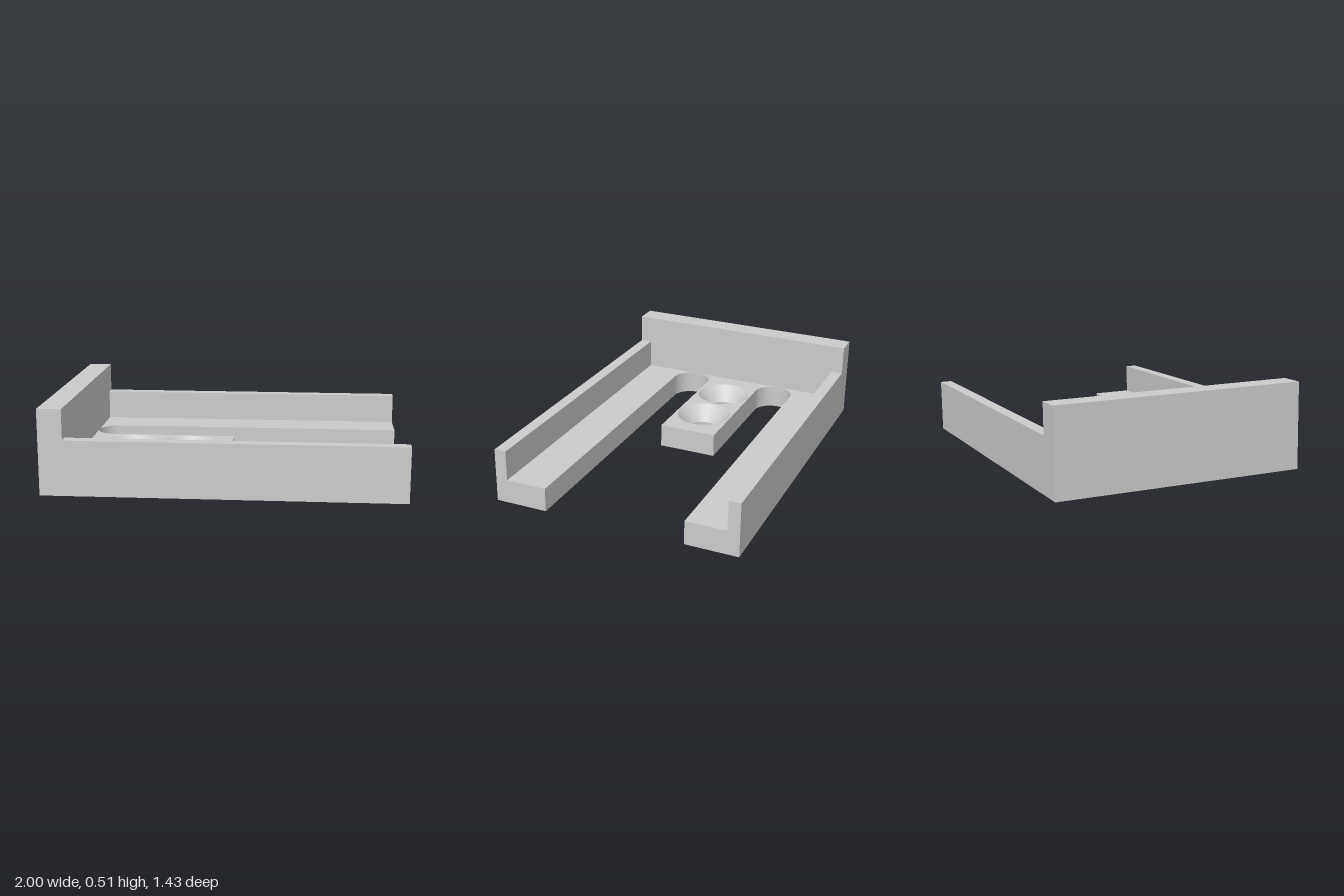
import * as THREE from 'three';
import { toCreasedNormals } from 'three/addons/utils/BufferGeometryUtils.js';

const HALF = 0.71;        // half depth of the bracket
const BASE = 0.137;       // plate thickness
const LIP = 0.311;        // height of the side lips
const WALL = 0.483;       // height of the end wall
const WALL_X = -0.865;    // inner face of the end wall
const SLOT_IN = 0.172, SLOT_OUT = 0.407;
const HOLES = [-0.605, -0.262];
const TILT = -0.0183;

// Plan of the plate: two long arms and a short tongue, parted by round-ended slots
function plateOutline() {
  const r = (SLOT_OUT - SLOT_IN) / 2, mid = (SLOT_OUT + SLOT_IN) / 2, cx = WALL_X + r;
  const s = new THREE.Shape();
  s.moveTo(-1, -HALF);
  s.lineTo(1, -HALF);
  s.lineTo(1, -SLOT_OUT);
  s.lineTo(cx, -SLOT_OUT);
  s.absarc(cx, -mid, r, -Math.PI / 2, -Math.PI * 1.5, true);
  s.lineTo(0, -SLOT_IN);
  s.lineTo(0, SLOT_IN);
  s.lineTo(cx, SLOT_IN);
  s.absarc(cx, mid, r, -Math.PI / 2, -Math.PI * 1.5, true);
  s.lineTo(1, SLOT_OUT);
  s.lineTo(1, HALF);
  s.lineTo(-1, HALF);
  return s;
}

// Flat face of the plate with screw holes of the given radius
function plateFace(radius) {
  const s = plateOutline();
  for (const x of HOLES) {
    s.holes.push(new THREE.Path().absarc(x, 0, radius, 0, Math.PI * 2, true));
  }
  return new THREE.ShapeGeometry(s, 24);
}

// Upright edge running all round the outline
function plateEdge() {
  const pts = plateOutline().getPoints(24), pos = [];
  pts.forEach((a, i) => {
    const b = pts[(i + 1) % pts.length];
    if (a.distanceTo(b) < 1e-6) return;
    const a0 = [a.x, 0, -a.y], b0 = [b.x, 0, -b.y];
    const a1 = [a.x, BASE, -a.y], b1 = [b.x, BASE, -b.y];
    pos.push(...a0, ...b0, ...b1, ...a0, ...b1, ...a1);
  });
  const g = new THREE.BufferGeometry();
  g.setAttribute('position', new THREE.Float32BufferAttribute(pos, 3));
  return toCreasedNormals(g, 0.5);
}

export function createModel() {
  const model = new THREE.Group();
  model.name = 'mountingBracket';
  const body = new THREE.Group();
  body.name = 'bracketBody';
  model.add(body);
  const grey = new THREE.MeshStandardMaterial({ color: 0xcccccc });
  const inner = new THREE.MeshStandardMaterial({ color: 0xcccccc, side: THREE.DoubleSide });

  const add = (name, geometry, material = grey) => {
    const mesh = new THREE.Mesh(geometry, material);
    mesh.name = name;
    body.add(mesh);
    return mesh;
  };
  const box = (name, x0, x1, y0, y1, z0, z1) =>
    add(name, new THREE.BoxGeometry(x1 - x0, y1 - y0, z1 - z0))
      .position.set((x0 + x1) / 2, (y0 + y1) / 2, (z0 + z1) / 2);

  // Base plate
  add('plateTop', plateFace(0.162).rotateX(-Math.PI / 2).translate(0, BASE, 0));
  add('plateBottom', plateFace(0.08).rotateX(Math.PI / 2));
  add('plateEdge', plateEdge());

  // Countersunk screw holes in the tongue
  const profile = [[0.162, BASE], [0.08, 0.045], [0.08, 0]].map(p => new THREE.Vector2(...p));
  HOLES.forEach((x, i) => {
    const g = toCreasedNormals(new THREE.LatheGeometry(profile, 48), 0.4);
    add('screwHole' + (i + 1), g, inner).position.x = x;
  });

  // End wall and side lips
  box('endWall', -1, WALL_X, BASE, WALL, -HALF, HALF);
  box('frontLip', WALL_X, 1, BASE, LIP, 0.642, HALF);
  box('backLip', WALL_X, 1, BASE, LIP, -HALF, -0.642);

  // The whole part leans slightly, resting on its rear lower edge
  body.rotation.x = TILT;
  body.position.set(0, HALF * Math.sin(-TILT), WALL * Math.sin(-TILT) / 2);
  return model;
}
